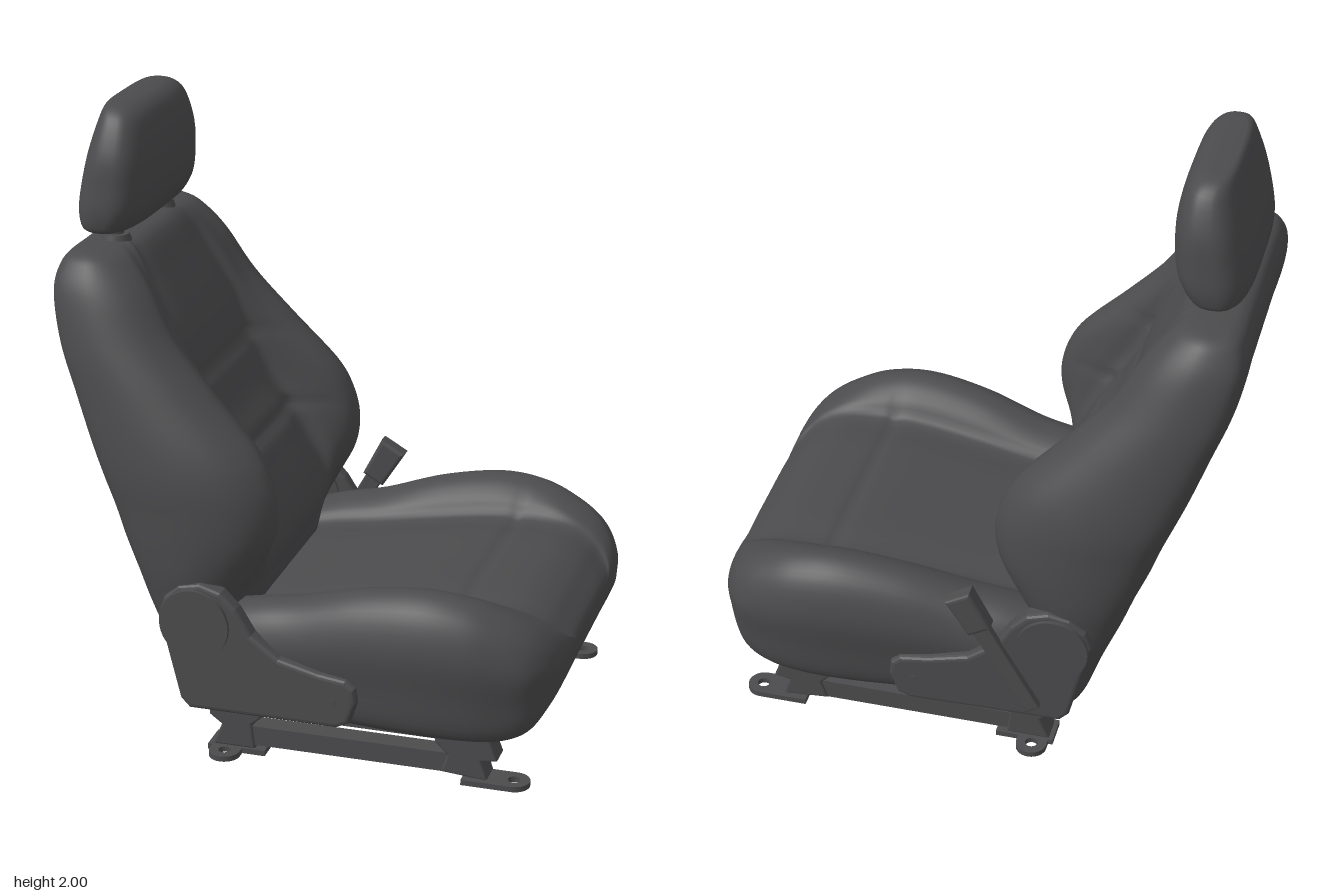
import * as THREE from 'three';

const charcoal = new THREE.MeshStandardMaterial({ color: 0x4b4b4d });
charcoal.name = 'charcoal';

const V = (x, y, z) => new THREE.Vector3(x, y, z);

function add(parent, name, geometry, x = 0, y = 0, z = 0) {
  const mesh = new THREE.Mesh(geometry, charcoal);
  mesh.name = name;
  mesh.position.set(x, y, z);
  parent.add(mesh);
  return mesh;
}

// Smoothly resamples a table of section parameters
function resample(rows, steps) {
  const out = [];
  const at = i => rows[Math.max(0, Math.min(rows.length - 1, i))];
  for (let i = 0; i < rows.length - 1; i++) {
    for (let s = 0; s < steps; s++) {
      const t = s / steps;
      out.push(rows[i].map((p1, k) => {
        const p0 = at(i - 1)[k], p2 = at(i + 1)[k], p3 = at(i + 2)[k];
        return 0.5 * (2 * p1 + (p2 - p0) * t + (2 * p0 - 5 * p1 + 4 * p2 - p3) * t * t
          + (3 * p1 - p0 - 3 * p2 + p3) * t * t * t);
      }));
    }
  }
  out.push(rows[rows.length - 1]);
  return out;
}

// Mirrors a half section in z and rounds it into a closed ring
function ring(half, count = 110) {
  const mirrored = half.slice(1, -1).reverse().map(p => V(p.x, p.y, -p.z));
  const curve = new THREE.CatmullRomCurve3([...half, ...mirrored], true, 'centripetal');
  return Array.from({ length: count }, (_, i) => curve.getPoint(i / count));
}

// Skins a list of rings and closes both ends
function loft(rings) {
  const n = rings[0].length, pos = [], index = [];
  rings.forEach(r => r.forEach(p => pos.push(p.x, p.y, p.z)));
  for (let j = 0; j < rings.length - 1; j++) {
    for (let i = 0; i < n; i++) {
      const a = j * n + i, b = j * n + (i + 1) % n;
      index.push(a, b, a + n, b, b + n, a + n);
    }
  }
  [0, rings.length - 1].forEach(j => {
    const c = rings[j].reduce((s, p) => s.add(p), V(0, 0, 0)).divideScalar(n);
    const centre = pos.push(c.x, c.y, c.z) / 3 - 1;
    for (let i = 0; i < n; i++) {
      const a = j * n + i, b = j * n + (i + 1) % n;
      index.push(centre, ...(j === 0 ? [b, a] : [a, b]));
    }
  });
  const g = new THREE.BufferGeometry();
  g.setAttribute('position', new THREE.Float32BufferAttribute(pos, 3));
  g.setIndex(index);
  g.computeVertexNormals();
  return g;
}

const groove = (v, at, width) => Math.exp(-(((v - at) / width) ** 2));

// Columns: y, back x, centre panel x, bolster x, half width
const BACK = [
  [1.57, -0.74, -0.68, -0.68, 0.34], [1.562, -0.785, -0.635, -0.63, 0.39],
  [1.53, -0.815, -0.6, -0.585, 0.43], [1.45, -0.83, -0.555, -0.52, 0.475],
  [1.3, -0.8, -0.475, -0.43, 0.52], [1.15, -0.745, -0.42, -0.3, 0.555],
  [1.0, -0.69, -0.35, -0.16, 0.585], [0.9, -0.65, -0.285, -0.105, 0.598],
  [0.8, -0.61, -0.23, -0.085, 0.6], [0.7, -0.575, -0.18, -0.1, 0.6],
  [0.6, -0.535, -0.155, -0.15, 0.595], [0.5, -0.5, -0.17, -0.2, 0.58],
  [0.35, -0.44, -0.2, -0.24, 0.56], [0.22, -0.395, -0.22, -0.26, 0.54],
  [0.17, -0.365, -0.24, -0.28, 0.52], [0.16, -0.33, -0.26, -0.3, 0.48],
];

function backrestRing([y, back, panel, b, w]) {
  const c = panel - 0.014 * (groove(y, 1.13, 0.018) + groove(y, 0.88, 0.018));
  const s = w / 0.6, d = b - back;
  return ring([
    V(c, y, 0), V(c, y, 0.2 * s), V(c - 0.006, y, 0.31 * s), V(c + 0.45 * (b - c), y, 0.345 * s),
    V(b - 0.03 * d, y, 0.395 * s), V(b, y, 0.46 * s), V(b - 0.14 * d, y, 0.55 * s),
    V(b - 0.45 * d, y, w), V(back + 0.22 * d, y, w - 0.015), V(back + 0.06 * d, y, 0.9 * w),
    V(back, y, 0.75 * w), V(back, y, 0.4 * w), V(back, y, 0),
  ]);
}

// Columns: x, bottom y, centre panel y, bolster y, half width
const CUSHION = [
  [-0.34, 0.2, 0.4, 0.42, 0.5], [-0.32, 0.165, 0.42, 0.46, 0.54],
  [-0.15, 0.16, 0.455, 0.51, 0.575], [0, 0.16, 0.475, 0.54, 0.59],
  [0.2, 0.16, 0.505, 0.6, 0.62], [0.4, 0.16, 0.53, 0.63, 0.64],
  [0.55, 0.16, 0.535, 0.615, 0.635], [0.66, 0.165, 0.53, 0.575, 0.61],
  [0.74, 0.195, 0.5, 0.53, 0.575], [0.79, 0.26, 0.46, 0.485, 0.52],
  [0.82, 0.32, 0.43, 0.44, 0.45], [0.83, 0.36, 0.41, 0.41, 0.38],
];

function cushionRing([x, yb, panel, ys, w]) {
  const yc = panel - 0.01 * groove(x, 0.49, 0.018);
  const q = w / 0.64, d = ys - yc, h = ys - yb;
  return ring([
    V(x, yc, 0), V(x, yc, 0.22 * q), V(x, yc - 0.005, 0.37 * q), V(x, yc + 0.5 * d, 0.415 * q),
    V(x, ys - 0.1 * d, 0.47 * q), V(x, ys, 0.53 * q), V(x, ys - 0.1 * h, 0.6 * q),
    V(x, ys - 0.35 * h, w), V(x, yb + 0.35 * h, 0.975 * w), V(x, yb + 0.07 * h, 0.935 * w),
    V(x, yb, 0.87 * w), V(x, yb, 0.4 * w), V(x, yb, 0),
  ]);
}

// Columns: y, back x, front x, half width
const HEADREST = [
  [2, -0.72, -0.66, 0.17], [1.99, -0.735, -0.62, 0.22], [1.95, -0.75, -0.585, 0.265],
  [1.85, -0.78, -0.563, 0.308], [1.75, -0.803, -0.562, 0.32], [1.68, -0.812, -0.573, 0.325],
  [1.63, -0.807, -0.6, 0.318], [1.61, -0.79, -0.625, 0.305], [1.602, -0.75, -0.66, 0.27],
];

function headrestRing([y, x0, x1, w]) {
  const round = (v, e) => Math.sign(v) * Math.abs(v) ** e;
  return Array.from({ length: 64 }, (_, i) => {
    const a = (i / 64) * Math.PI * 2;
    return V((x0 + x1) / 2 + (x1 - x0) / 2 * round(Math.cos(a), 0.75), y, w * round(Math.sin(a), 0.55));
  });
}

function extrude(points, depth, bevel) {
  const shape = new THREE.Shape(points.map(p => new THREE.Vector2(...p)));
  const g = new THREE.ExtrudeGeometry(shape, {
    depth: depth - 2 * bevel, bevelThickness: bevel, bevelSize: bevel, bevelOffset: -bevel, bevelSegments: 3,
  });
  return g.translate(0, 0, -depth / 2 + bevel);
}

// Flat mounting foot with a rounded tip and a bolt hole
function footGeometry(length) {
  const s = new THREE.Shape();
  s.moveTo(0, -0.05);
  s.lineTo(length - 0.05, -0.05);
  s.absarc(length - 0.05, 0, 0.05, -Math.PI / 2, Math.PI / 2);
  s.lineTo(0, 0.05);
  s.holes.push(new THREE.Path().absarc(length - 0.05, 0, 0.02, 0, Math.PI * 2, true));
  return new THREE.ExtrudeGeometry(s, { depth: 0.018, bevelEnabled: false }).rotateX(-Math.PI / 2);
}

export function createModel() {
  const seat = new THREE.Group();
  seat.name = 'carSeat';

  // Upholstery
  add(seat, 'backrest', loft(resample(BACK, 7).map(backrestRing)));
  add(seat, 'cushion', loft(resample(CUSHION, 7).map(cushionRing)));
  add(seat, 'headrest', loft(resample(HEADREST, 4).map(headrestRing)));

  for (const side of [1, -1]) {
    // Headrest posts
    add(seat, 'headrestPost', new THREE.CylinderGeometry(0.026, 0.026, 0.12, 20), -0.69, 1.59, side * 0.2);
    add(seat, 'postCollar', new THREE.CylinderGeometry(0.042, 0.05, 0.026, 24), -0.69, 1.573, side * 0.2);

    // Recliner cover with its round cap
    const cover = new THREE.Group();
    cover.name = 'reclinerCover';
    cover.position.z = side * 0.59;
    cover.rotation.y = -side * 0.045;
    seat.add(cover);
    add(cover, 'coverPlate', extrude([
      [-0.43, 0.48], [-0.41, 0.54], [-0.36, 0.585], [-0.29, 0.6], [-0.22, 0.58], [-0.17, 0.53], [-0.12, 0.45],
      [-0.03, 0.385], [0.1, 0.355], [0.19, 0.345], [0.22, 0.32], [0.225, 0.27], [0.2, 0.2], [0.16, 0.18],
      [-0.33, 0.17], [-0.36, 0.2],
    ], 0.06, 0.015));
    add(cover, 'reclinerCap', new THREE.CylinderGeometry(0.115, 0.115, 0.085, 40).rotateX(Math.PI / 2), -0.305, 0.465);
    add(cover, 'coverScrew', new THREE.CylinderGeometry(0.014, 0.014, 0.066, 16).rotateX(Math.PI / 2), 0.145, 0.265);

    // Sliding rail
    const z = side * 0.485;
    add(seat, 'lowerRail', new THREE.BoxGeometry(0.72, 0.065, 0.07), 0.16, 0.06, z);
    add(seat, 'upperRail', new THREE.BoxGeometry(0.9, 0.03, 0.045), 0.17, 0.143, z).scale.y = 0.8;

    // Rail mounts and feet
    add(seat, 'rearMount', extrude([[-0.28, 0.018], [-0.14, 0.018], [-0.15, 0.1], [-0.12, 0.125], [-0.12, 0.17],
      [-0.29, 0.17], [-0.29, 0.12], [-0.25, 0.09]], 0.09, 0.008), 0, 0, z);
    add(seat, 'frontMount', extrude([[0.47, 0.03], [0.62, 0.018], [0.6, 0.08], [0.65, 0.09], [0.62, 0.17],
      [0.45, 0.17], [0.45, 0.13], [0.49, 0.09]], 0.09, 0.008), 0, 0, z);
    add(seat, 'frontFoot', footGeometry(0.21), 0.54, 0.004, side * 0.5);
    const rearFoot = add(seat, 'rearFoot', footGeometry(0.18), -0.23, 0, side * 0.43);
    rearFoot.rotation.y = -side * Math.PI / 2;
    add(seat, 'rearFootPlate', new THREE.BoxGeometry(0.19, 0.018, 0.1), -0.2, 0.009, z);
  }

  // Slide release bar under the cushion
  const bar = new THREE.CatmullRomCurve3([
    V(0.1, 0.155, 0.32), V(0.35, 0.132, 0.32), V(0.6, 0.108, 0.32), V(0.645, 0.1, 0.3), V(0.65, 0.097, 0.24),
    V(0.65, 0.095, 0), V(0.65, 0.097, -0.24), V(0.645, 0.1, -0.3), V(0.6, 0.108, -0.32), V(0.35, 0.132, -0.32),
    V(0.1, 0.155, -0.32),
  ]);
  add(seat, 'releaseBar', new THREE.TubeGeometry(bar, 100, 0.012, 10));

  // Seat belt buckle on its stalk
  const buckle = new THREE.Group();
  buckle.name = 'beltBuckle';
  buckle.position.set(-0.24, 0.24, -0.62);
  buckle.rotation.z = -Math.PI / 6;
  seat.add(buckle);
  add(buckle, 'stalk', extrude([[-0.025, -0.02], [0.025, -0.02], [0.03, 0.36], [-0.03, 0.36]], 0.03, 0.005));
  add(buckle, 'buckleHead', extrude([[-0.04, 0.32], [0.04, 0.32], [0.047, 0.465], [-0.047, 0.465]], 0.06, 0.012));

  return seat;
}
